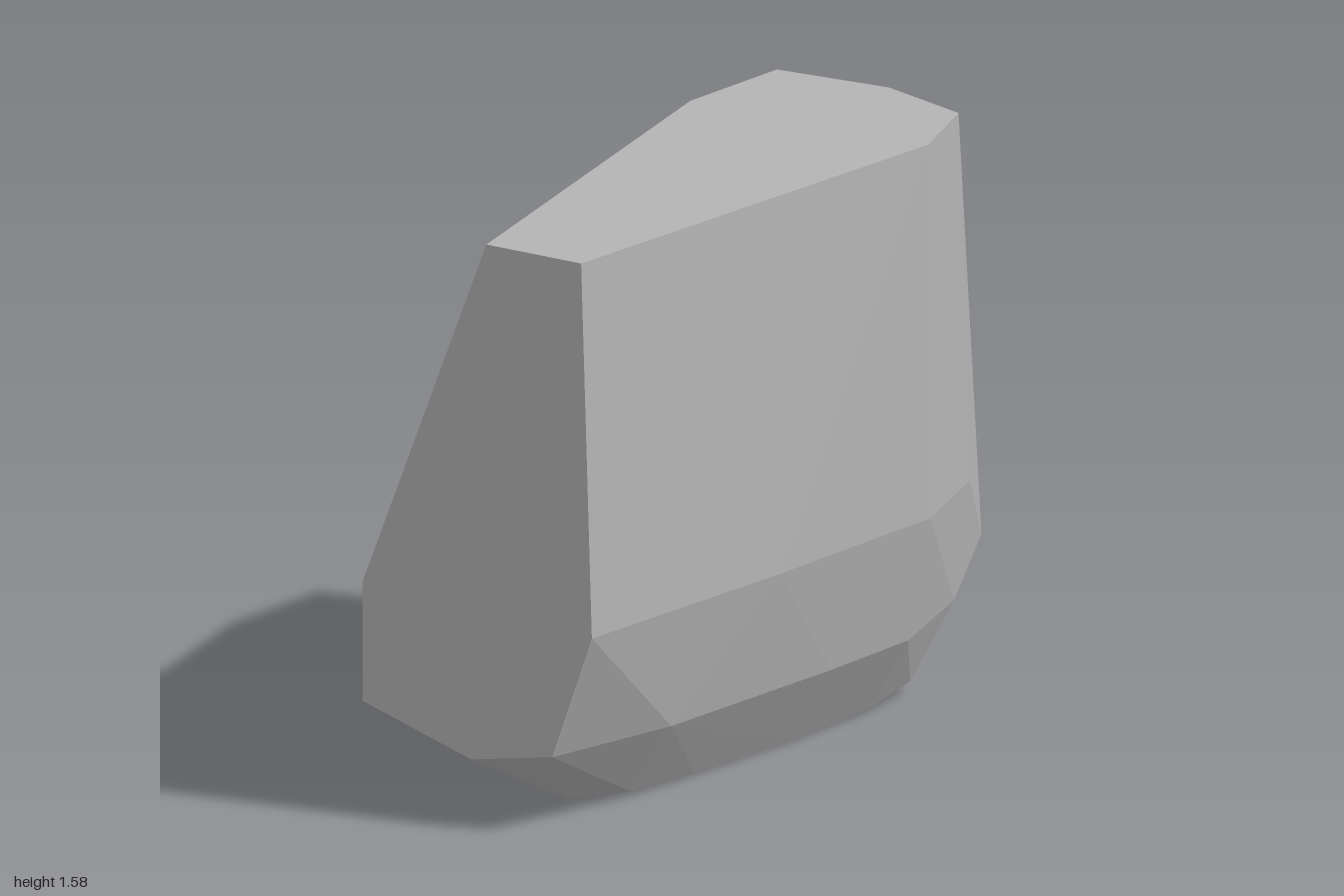
import * as THREE from 'three';
import { ConvexGeometry } from 'three/addons/geometries/ConvexGeometry.js';

const stone = new THREE.MeshStandardMaterial({ color: 0xb4b4b4, flatShading: true });
stone.name = 'stone grey';

// Corner points of the faceted block, grouped by region as [x, y, z]
const top = [[-1, 0.02], [0.44, -0.385], [0.82, -0.385], [0.855, -0.045], [0.765, 0.25], [0.47, 0.37], [-1, 0.33]]
  .map(([x, z]) => [x, 1.576, z]);

// Flat back, with its cut corner on one side and rounded corner on the other
const back = [[-1, 0.59], [-1, 0.265], [0.12, 0.195], [0.45, 0.228], [0.7, 0.33], [0.79, 0.56], [0.815, 0.9]]
  .map(([x, y]) => [x, y, -0.385]);

// Gently bowed front, stepping inward towards the base
const front = [
  [-1, 0.56, 0.365], [-0.2, 0.56, 0.385], [0.47, 0.56, 0.378], [0.83, 0.56, 0.24],
  [-1, 0.215, 0.235], [-0.57, 0.215, 0.305], [0.12, 0.215, 0.315], [0.47, 0.215, 0.305], [0.8, 0.235, 0.21],
];

// Blunt side tip
const tip = [[1, 0.36, 0.15], [1, 0.36, 0.11], [1, 0.43, 0.13]];

// Narrow, slightly curved base
const base = [
  [-1, 0.165, -0.03], [-0.77, 0.03, 0.11], [-0.57, 0.015, 0.17], [-0.3, 0.005, 0.18], [0.12, 0, 0.185],
  [0.47, 0.01, 0.18], [0.68, 0.03, 0.155], [0.68, 0.03, 0.1], [0.4, 0.01, 0.04], [0.12, 0, 0.03], [-0.3, 0.005, 0.045],
];

export function createModel() {
  const group = new THREE.Group();
  group.name = 'rock';
  const points = [...top, ...back, ...front, ...tip, ...base].map((p) => new THREE.Vector3(...p));
  const block = new THREE.Mesh(new ConvexGeometry(points), stone);
  block.name = 'facetedBlock';
  group.add(block);
  return group;
}
